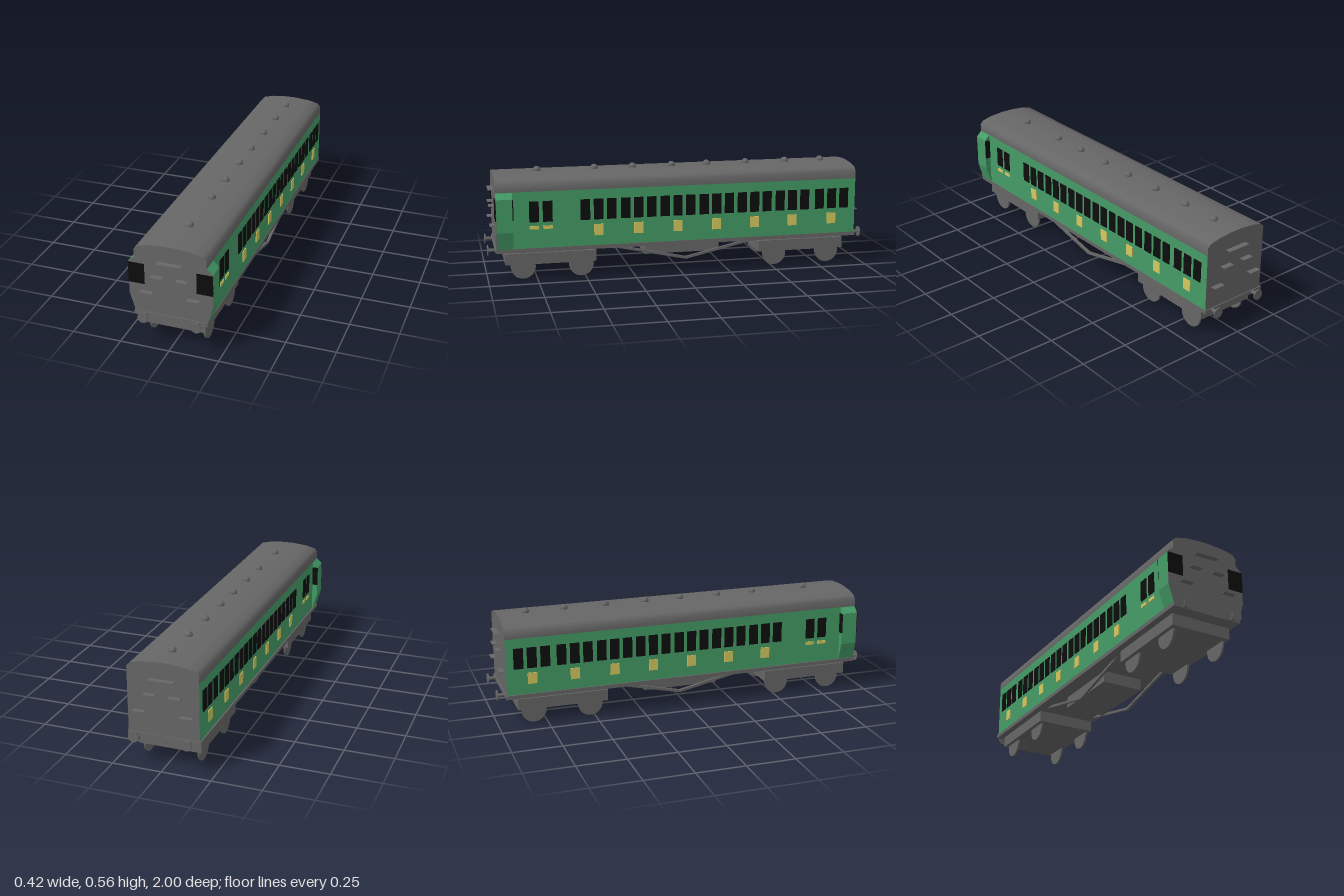
import * as THREE from 'three';
import { toCreasedNormals } from 'three/addons/utils/BufferGeometryUtils.js';

const mat = (name, color) => {
  const m = new THREE.MeshStandardMaterial({ color });
  m.name = name;
  return m;
};

export function createModel() {
  const grey = mat('grey', 0x666666);
  const green = mat('green', 0x449b66);
  const black = mat('black', 0x0d0d0d);
  const yellow = mat('yellow', 0xd4c85e);

  const model = new THREE.Group();
  model.name = 'railwayCoach';

  const add = (name, geo, material, x = 0, y = 0, z = 0) => {
    const mesh = new THREE.Mesh(geo, material);
    mesh.name = name;
    mesh.position.set(x, y, z);
    model.add(mesh);
    return mesh;
  };
  // Box given by its limits on each axis
  const block = (name, m, x0, x1, y0, y1, z0, z1) =>
    add(name, new THREE.BoxGeometry(x1 - x0, y1 - y0, z1 - z0), m,
      (x0 + x1) / 2, (y0 + y1) / 2, (z0 + z1) / 2);
  // Cross-section in x and y, drawn out from z0 to z1
  const section = (pts, z0, z1) => {
    const shape = new THREE.Shape(pts.map(([x, y]) => new THREE.Vector2(x, y)));
    return new THREE.ExtrudeGeometry(shape, { depth: z1 - z0, bevelEnabled: false }).translate(0, 0, z0);
  };

  const W = 0.18, END = 0.955, WAIST = 0.46;

  // Body: green sides, grey ends
  block('body', [green, green, grey, grey, grey, grey], -W, W, 0.165, WAIST, -END, END);

  // Curved roof
  const half = [[W, WAIST], [W, 0.5], [0.163, 0.517], [0.11, 0.53], [0.03, 0.537]];
  const roofPts = [...half, ...half.map(([x, y]) => [-x, y]).reverse()];
  add('roof', toCreasedNormals(section(roofPts, -END, END), 0.9), grey);

  // Roof ventilators
  for (const z of [0.727, 0.428, 0.225, 0.016, -0.176, -0.39, -0.61, -0.81]) {
    add('roofVent', new THREE.SphereGeometry(0.02, 16, 12), grey, 0.01, 0.541, z);
  }

  for (const s of [-1, 1]) {
    const plate = (name, m, y0, y1, z, w) =>
      add(name, new THREE.BoxGeometry(0.006, y1 - y0, w), m, s * (W + 0.001), (y0 + y1) / 2, z);

    // Passenger compartments: door window between two side windows
    for (const z of [0.433, 0.225, 0.018, -0.19, -0.396, -0.604, -0.823]) {
      for (const d of [-0.068, 0, 0.068]) plate('window', black, 0.303, 0.41, z + d, 0.049);
      plate('doorPanel', yellow, 0.22, 0.278, z, 0.048);
    }
    // Guard's double doors
    for (const z of [0.762, 0.693]) {
      plate('guardWindow', black, 0.303, 0.41, z, 0.049);
      plate('guardDoorStrip', yellow, 0.266, 0.283, z, 0.048);
    }

    // Projecting lookout with grey front and dark panes
    const lookout = [[0.17, 0.458], [W, 0.458], [0.21, 0.43], [0.21, 0.26], [0.183, 0.167], [0.17, 0.167]]
      .map(([x, y]) => [s * x, y]);
    add('lookout', section(lookout, 0.87, 0.953), green);
    add('lookoutFront', section(lookout, 0.953, END), grey);
    const front = [0.13, 0.21].map((x) => s * x).sort((a, b) => a - b);
    block('lookoutFrontWindow', black, ...front, 0.32, 0.427, 0.953, 0.958);
    const rear = [0.175, 0.21].map((x) => s * x).sort((a, b) => a - b);
    block('lookoutRearWindow', black, ...rear, 0.32, 0.427, 0.867, 0.872);
  }

  // Climbing steps on both ends
  for (const e of [-1, 1]) {
    const step = (x, y, w) =>
      add('endStep', new THREE.BoxGeometry(w, 0.003, 0.03), grey, x, y, e * 0.968);
    step(0, 0.453, 0.125);
    for (const s of [-1, 1]) {
      step(s * 0.063, 0.375, 0.06);
      step(s * 0.118, 0.284, 0.062);
    }
    // Buffers
    for (const x of [-0.129, 0.137]) {
      const rod = add('bufferRod', new THREE.CylinderGeometry(0.009, 0.009, 0.05, 12), grey, x, 0.158, e * 0.973);
      const head = add('bufferHead', new THREE.CylinderGeometry(0.027, 0.027, 0.006, 24), grey, x, 0.158, e * 0.997);
      rod.rotation.x = head.rotation.x = Math.PI / 2;
    }
  }

  // Underframe and equipment box
  block('underframe', grey, -0.187, 0.182, 0.148, 0.168, -0.96, 0.96);
  block('equipmentBox', grey, -0.11, 0.11, 0.088, 0.15, -0.22, 0.18);

  // Truss rods
  const bar = (x, z0, y0, z1, y1) => {
    const len = Math.hypot(z1 - z0, y1 - y0);
    const m = add('trussRod', new THREE.BoxGeometry(0.013, 0.013, len), grey, x, (y0 + y1) / 2, (z0 + z1) / 2);
    m.rotation.x = -Math.atan2(y1 - y0, z1 - z0);
  };
  for (const x of [-0.129, 0.156]) {
    bar(x, -0.03, 0.069, 0.35, 0.152);
    bar(x, -0.4, 0.152, -0.03, 0.069);
  }

  // Bogies with four wheels each
  for (const [z, wheels] of [[0.677, [0.82, 0.52]], [-0.665, [-0.52, -0.815]]]) {
    block('bogieFrame', grey, -0.165, 0.153, 0.077, 0.136, z - 0.234, z + 0.234);
    block('bogieBolster', grey, -0.15, 0.14, 0.136, 0.15, z - 0.18, z + 0.18);
    for (const wz of wheels) {
      for (const x of [-0.14, 0.136]) {
        const wheel = add('wheel', new THREE.CylinderGeometry(0.064, 0.064, 0.01, 32), grey, x, 0.064, wz);
        wheel.rotation.z = Math.PI / 2;
      }
    }
  }

  return model;
}
